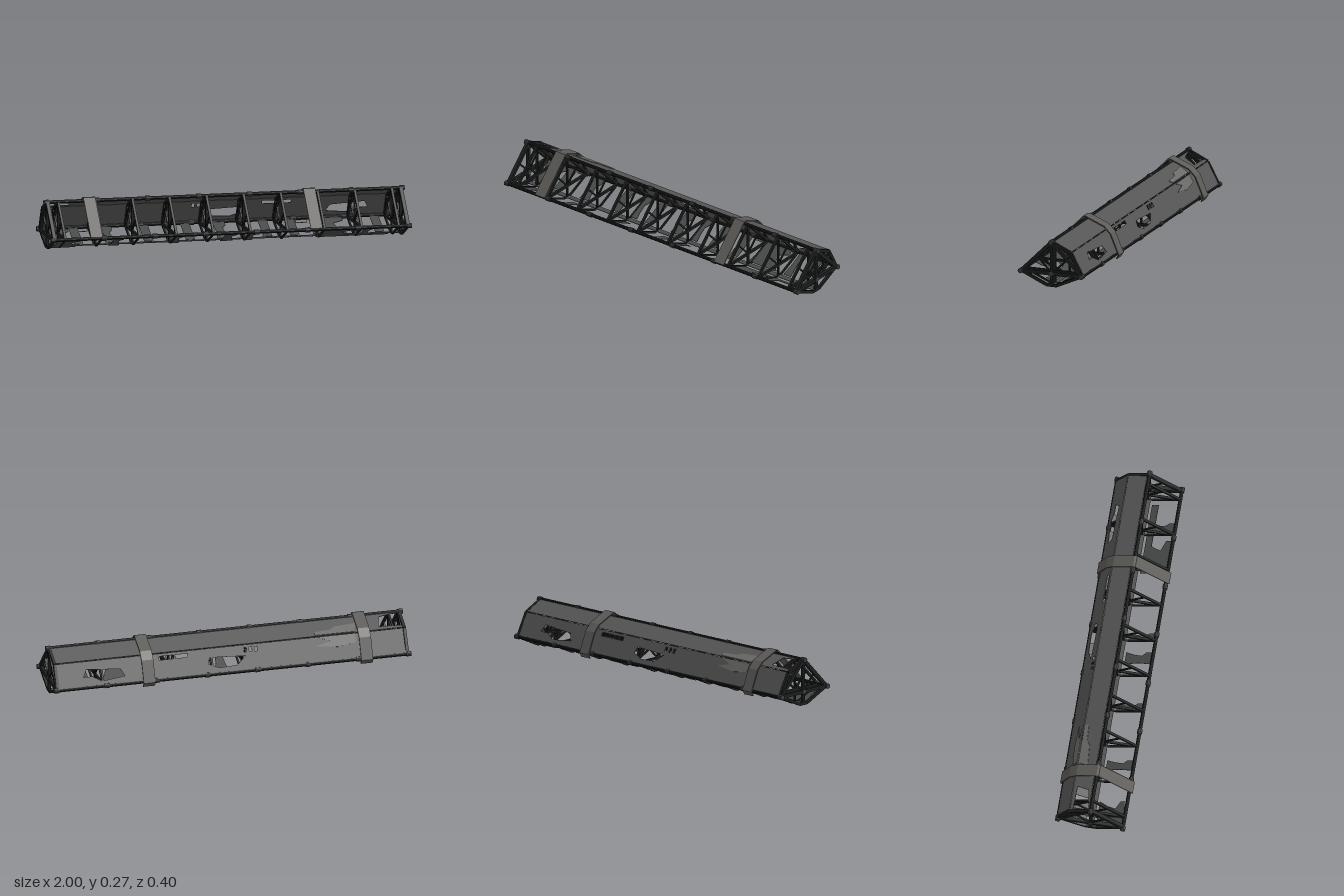
import * as THREE from 'three';

const mat = (color) => new THREE.MeshStandardMaterial({ color, flatShading: true, side: THREE.DoubleSide });

// Cross-section landmarks as [z, y]
const TOP = [0, 0.255], FRONT = [0.178, 0.078], BACK = [-0.178, 0.078];
const MID = [0, 0.078], SHOULDER = [-0.112, 0.203];
const KEEL_F = [0.028, 0.011], KEEL_B = [-0.028, 0.011];

export function createModel() {
  const root = new THREE.Group();
  const steel = mat(0x1c1e1d), node = mat(0x3c3e3d), skin = mat(0x555555);
  const strapMat = mat(0x5c5a57), plateMat = mat(0x484a49), scrapMat = mat(0x6a6a68);

  const add = (parent, name, geometry, material) => {
    const mesh = new THREE.Mesh(geometry, material);
    mesh.name = name;
    parent.add(mesh);
    return mesh;
  };

  // Bar between two cross-section points at a given x
  const bar = (parent, name, x, a, b, w, d = w) => {
    const dz = b[0] - a[0], dy = b[1] - a[1];
    const m = add(parent, name, new THREE.BoxGeometry(d, w, Math.hypot(dz, dy)), steel);
    m.position.set(x, (a[1] + b[1]) / 2, (a[0] + b[0]) / 2);
    m.rotation.x = -Math.atan2(dy, dz);
    return m;
  };

  // Flat sheet lying between two cross-section points; outline uses (x, distance from a)
  const sheet = (name, a, b, outline, material, holes = [], lift = 0) => {
    const toV = (p) => new THREE.Vector2(p[0], p[1]);
    const shape = new THREE.Shape(outline.map(toV));
    shape.holes = holes.map((h) => new THREE.Path(h.map(toV)));
    const t = new THREE.Vector3(0, b[1] - a[1], b[0] - a[0]).normalize();
    const x = new THREE.Vector3(1, 0, 0);
    const n = x.clone().cross(t);
    const g = new THREE.ExtrudeGeometry(shape, { depth: 0.003, bevelEnabled: false });
    g.applyMatrix4(new THREE.Matrix4().makeBasis(x, t, n).setPosition(0, a[1], a[0]));
    g.translate(n.x * lift, n.y * lift, n.z * lift);
    return add(root, name, g, material);
  };
  const rect = (x0, x1, t0, t1) => [[x0, t0], [x1, t0], [x1, t1], [x0, t1]];

  // Three long chord tubes with coupling collars
  for (const [name, p] of [['top', TOP], ['front', FRONT], ['back', BACK]]) {
    const tube = add(root, name + 'Chord', new THREE.CylinderGeometry(0.01, 0.01, 1.98, 10), steel);
    tube.rotation.z = Math.PI / 2;
    tube.position.set(0, p[1], p[0]);
    for (let i = 0; i < 8; i++) {
      const c = add(root, name + 'Collar', new THREE.CylinderGeometry(0.014, 0.014, 0.026, 10), node);
      c.rotation.z = Math.PI / 2;
      c.position.set(-0.987 + (i * 1.974) / 7, p[1], p[0]);
    }
  }

  // Cross frames: heavy at both ends, light between
  const addFrame = (x, w, isEnd) => {
    const f = new THREE.Group();
    f.name = isEnd ? 'endFrame' : 'innerFrame';
    root.add(f);
    bar(f, 'frontRafter', x, TOP, FRONT, w);
    bar(f, 'crossBeam', x, FRONT, BACK, w);
    bar(f, 'post', x, TOP, KEEL_F.map((v, i) => (i ? v : 0)), w * 0.8);
    bar(f, 'backRafter', x, TOP, BACK, w);
    bar(f, 'upperBackRib', x, TOP, SHOULDER, w * 0.8);
    bar(f, 'lowerBackRib', x, SHOULDER, BACK, w * 0.8);
    bar(f, 'frontKeelRib', x, FRONT, KEEL_F, w * 0.75);
    bar(f, 'keelRib', x, KEEL_F, KEEL_B, w * 0.75);
    bar(f, 'backKeelRib', x, KEEL_B, BACK, w * 0.75);
    bar(f, 'frontBrace', x, MID, [0.085, 0.165], 0.008);
    bar(f, 'backBrace', x, MID, [-0.112, 0.188], 0.008);
    if (isEnd) {
      const hub = add(f, 'hub', new THREE.CylinderGeometry(0.014, 0.014, 0.024, 10), node);
      hub.rotation.z = Math.PI / 2;
      hub.position.set(x, MID[1], 0);
    }
  };
  for (const x of [-0.98, 0.98]) addFrame(x, 0.02, true);
  for (let i = 0; i < 10; i++) addFrame(-0.92 + i * 0.2055, 0.013, false);

  // Upper back cladding with a torn end
  sheet('upperCladding', TOP, SHOULDER,
    [[-0.86, 0.03], [-0.97, 0.01], [0.98, 0.01], [0.98, 0.123], [-0.97, 0.123], [-0.97, 0.105], [-0.84, 0.1]],
    skin, [], 0.004);

  // Lower back cladding with ragged holes and slots
  const slots = [-0.15, -0.12, -0.09].map((x) => rect(x, x + 0.015, 0.015, 0.04));
  sheet('lowerCladding', SHOULDER, BACK, rect(-0.97, 0.98, 0, 0.14), skin, [
    [[0.62, 0.06], [0.81, 0.045], [0.83, 0.085], [0.78, 0.085], [0.73, 0.115], [0.6, 0.1]],
    [[-0.08, 0.06], [0.12, 0.05], [0.13, 0.085], [0.07, 0.11], [-0.03, 0.105]],
    rect(0.24, 0.4, 0.015, 0.035),
    ...slots,
  ], 0.004);

  // Torn scraps lying over the cladding
  sheet('upperScrap', TOP, SHOULDER,
    [[-0.72, 0.06], [-0.6, 0.07], [-0.57, 0.09], [-0.48, 0.095], [-0.48, 0.12], [-0.7, 0.12]], scrapMat, [], 0.008);
  sheet('lowerScrap', SHOULDER, BACK,
    [[-0.7, 0], [-0.5, 0.005], [-0.56, 0.03], [-0.48, 0.05], [-0.6, 0.065], [-0.7, 0.05]], scrapMat, [], 0.008);

  // Keel strip and broken belly plates on both slopes
  sheet('keelStrip', KEEL_F, KEEL_B, rect(-0.97, 0.97, 0.012, 0.044), plateMat);
  const len = Math.hypot(FRONT[0] - KEEL_F[0], FRONT[1] - KEEL_F[1]);
  const belly = [[-0.97, -0.83, 0.06], [-0.65, -0.59, 0.02], [-0.31, -0.26, 0.02],
    [-0.03, 0.04, 0.03], [0.1, 0.15, 0.03], [0.5, 0.69, 0], [0.74, 0.79, 0.01]];
  for (const [x0, x1, tear] of belly) {
    const w = x1 - x0;
    const outline = [[x0, 0], [x1, 0], [x1 - w * 0.2, len * 0.3], [x1 - w * 0.3, len * 0.6],
      [x1, len * 0.75], [x1, len - tear * 0.3], [x0, len], [x0 + w * 0.1, len * 0.5]];
    sheet('frontBellyPlate', KEEL_F, FRONT, outline, plateMat);
    sheet('backBellyPlate', KEEL_B, BACK, outline, plateMat);
  }
  for (const x of [-0.8, -0.41, -0.18, 0.25, 0.4, 0.87])
    sheet('backBellySlat', KEEL_B, BACK, rect(x - 0.025, x + 0.025, 0, len), plateMat);
  sheet('frontBellySkirt', KEEL_F, FRONT, rect(0.5, 0.9, 0, 0.04), plateMat);

  // Two folded straps draped over the truss
  const outer = [[0.199, 0.088], [0.012, 0.274], [-0.002, 0.275], [-0.112, 0.229],
    [-0.15, 0.19], [-0.199, 0.075], [-0.183, 0.05]];
  const inner = [[0.194, 0.084], [0.009, 0.268], [-0.002, 0.269], [-0.109, 0.224],
    [-0.145, 0.187], [-0.192, 0.076], [-0.179, 0.054]];
  const strapShape = new THREE.Shape([...outer, ...inner.reverse()].map(([z, y]) => new THREE.Vector2(-z, y)));
  for (const x of [-0.75, 0.47]) {
    const g = new THREE.ExtrudeGeometry(strapShape, { depth: 0.066, bevelEnabled: false });
    g.translate(0, 0, -0.033);
    const strap = add(root, 'strap', g, strapMat);
    strap.rotation.y = Math.PI / 2;
    strap.position.x = x;
  }
  return root;
}
